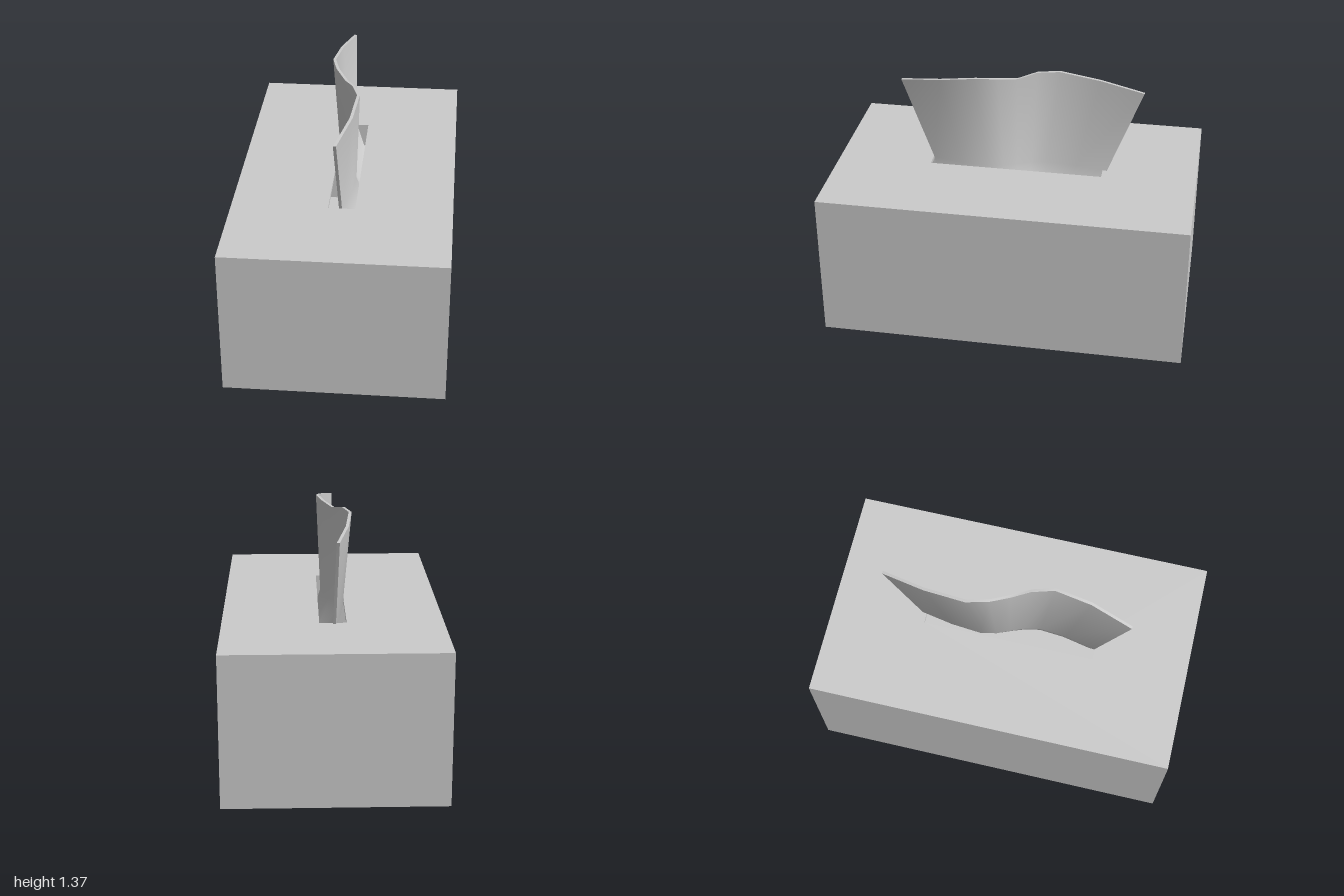
import * as THREE from 'three';
import { toCreasedNormals } from 'three/addons/utils/BufferGeometryUtils.js';

const W = 1.18, H = 0.825, D = 2, WALL = 0.02;

function rectangle(Type, w, d) {
  const s = new Type();
  s.moveTo(-w / 2, -d / 2);
  s.lineTo(w / 2, -d / 2);
  s.lineTo(w / 2, d / 2);
  s.lineTo(-w / 2, d / 2);
  s.closePath();
  return s;
}

// Horizontal slab with a rectangular opening, standing on y
function frame(holeW, holeD, y, height) {
  const shape = rectangle(THREE.Shape, W, D);
  shape.holes.push(rectangle(THREE.Path, holeW, holeD));
  const geo = new THREE.ExtrudeGeometry(shape, { depth: height, bevelEnabled: false });
  return geo.rotateX(-Math.PI / 2).translate(0, y, 0);
}

// Wavy sheet that fans out upwards and bends aside inside the box
function tissueGeometry() {
  // top edge: x, y, z
  const edge = [
    [-0.02, 1.31, -0.69], [-0.075, 1.34, -0.45], [-0.1, 1.365, -0.22],
    [-0.07, 1.365, -0.1], [-0.015, 1.345, 0], [0.035, 1.36, 0.1],
    [0.067, 1.368, 0.22], [0.045, 1.335, 0.42], [-0.02, 1.29, 0.65],
  ];
  // lower rows: y, x scale, z scale, x shift
  const rows = [[H, 0.6, 0.73, 0.005], [0.7, 0.5, 0.68, 0.05], [0.58, 0.4, 0.64, 0.15], [0.5, 0.3, 0.62, 0.3]];
  const half = 0.008, n = edge.length, loop = 2 * n;
  const pos = [], idx = [];
  const addRow = (point) => {
    for (let i = 0; i < loop; i++) {
      const front = i < n;
      const [x, y, z] = point(edge[front ? i : loop - 1 - i]);
      pos.push(x + (front ? half : -half), y, z);
    }
  };
  addRow((p) => p);
  for (const [y, sx, sz, dx] of rows) addRow((p) => [p[0] * sx + dx, y, p[2] * sz]);

  const quad = (a, b, c, d) => idx.push(a, b, c, a, c, d);
  for (let r = 0; r < rows.length; r++) {
    for (let i = 0; i < loop; i++) {
      const a = r * loop + i, b = r * loop + (i + 1) % loop;
      quad(a, b, b + loop, a + loop);
    }
  }
  // top rim and lower end
  const last = rows.length * loop;
  for (let i = 0; i < n - 1; i++) {
    const j = loop - 1 - i;
    quad(i + 1, i, j, j - 1);
    quad(last + i, last + i + 1, last + j - 1, last + j);
  }
  const geo = new THREE.BufferGeometry();
  geo.setAttribute('position', new THREE.Float32BufferAttribute(pos, 3));
  geo.setIndex(idx);
  return toCreasedNormals(geo, 1.0);
}

export function createModel() {
  const model = new THREE.Group();
  const material = new THREE.MeshStandardMaterial({ color: 0xcccccc });
  const add = (name, geometry) => {
    const mesh = new THREE.Mesh(geometry, material);
    mesh.name = name;
    model.add(mesh);
  };

  // Hollow carton with a slot in the lid
  add('boxFloor', new THREE.BoxGeometry(W, WALL, D).translate(0, WALL / 2, 0));
  add('boxWalls', frame(W - 2 * WALL, D - 2 * WALL, WALL, H - 2 * WALL));
  add('boxLid', frame(0.145, 0.96, H - WALL, WALL));

  // Sheet pulled up through the slot
  add('tissue', tissueGeometry());
  return model;
}
